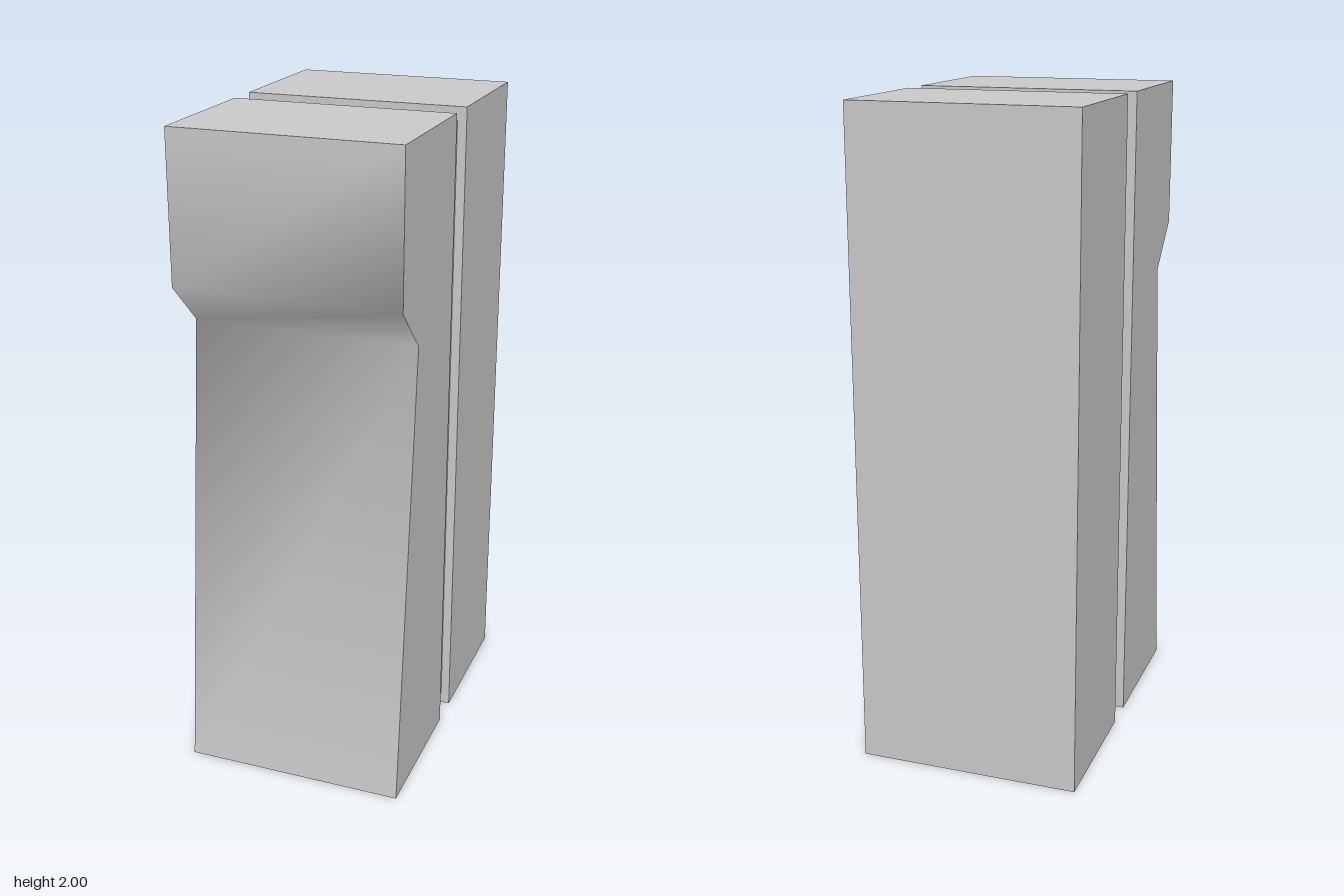
import * as THREE from 'three';
import { toCreasedNormals } from 'three/addons/utils/BufferGeometryUtils.js';

const WIDTH = 0.68;

export function createModel() {
  const group = new THREE.Group();
  const material = new THREE.MeshStandardMaterial({ color: 0xcccccc });

  const add = (name, geometry, y = 0, z = 0) => {
    const mesh = new THREE.Mesh(geometry, material);
    mesh.name = name;
    mesh.position.set(0, y, z);
    group.add(mesh);
  };

  // Front block: side profile in (z, y) with an overhanging head and a sloping face
  const profile = new THREE.Shape([
    [0.05, 0], [0.5, 0], [0.36, 1.415], [0.5, 1.55], [0.5, 2], [0.05, 2],
  ].map(([z, y]) => new THREE.Vector2(z, y)));
  const front = new THREE.ExtrudeGeometry(profile, { depth: WIDTH, bevelEnabled: false });
  front.translate(0, 0, -WIDTH / 2).rotateY(-Math.PI / 2);
  // Shading flows over the face's bends, while the outer edges stay sharp
  add('frontBlock', toCreasedNormals(front, Math.PI / 3));

  // Plain back block
  add('backBlock', new THREE.BoxGeometry(WIDTH, 2, 0.45), 1, -0.275);

  // Recessed core that forms the groove all round
  add('grooveCore', new THREE.BoxGeometry(0.625, 1.92, 0.1), 1, 0);

  return group;
}
